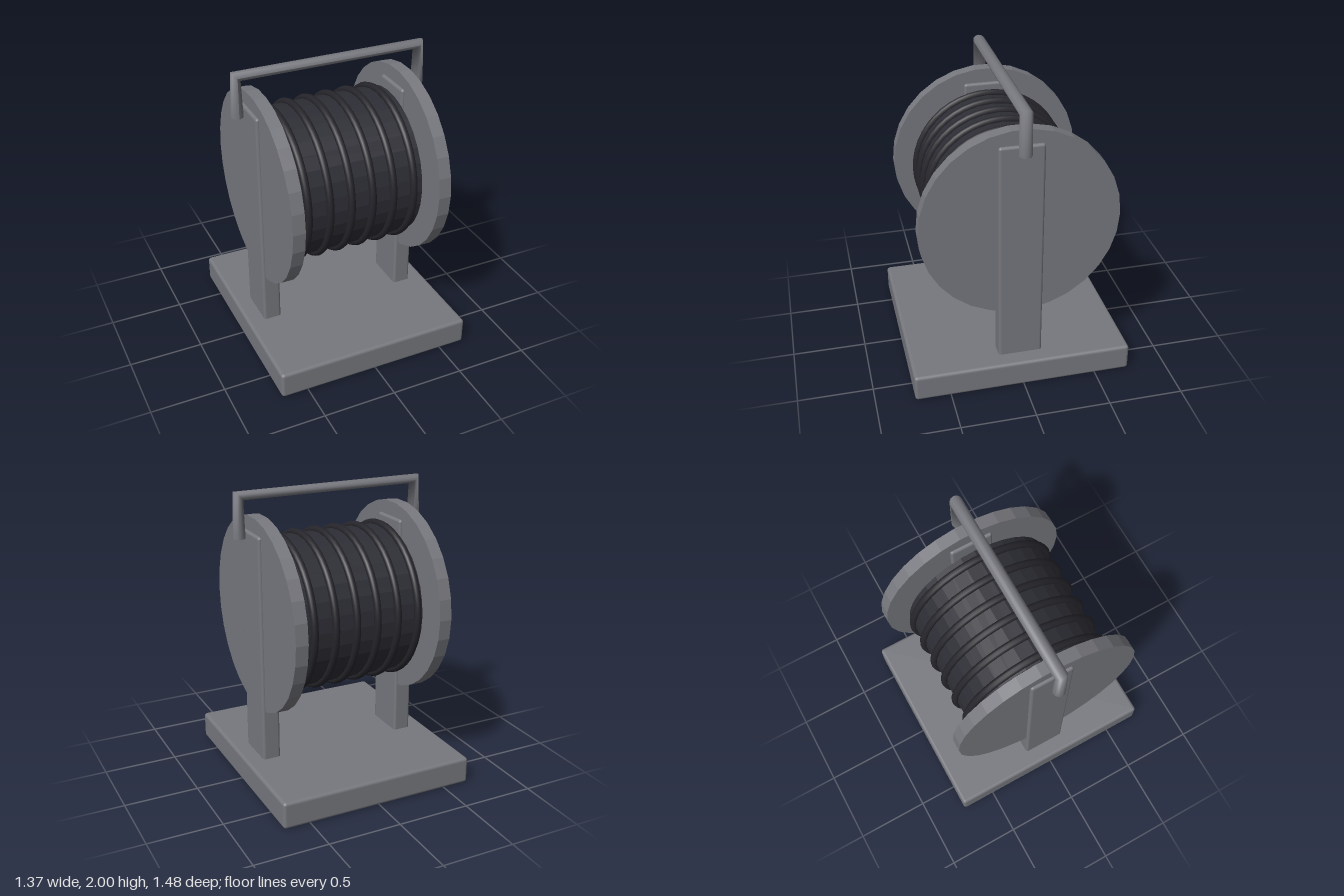
import * as THREE from 'three';
import { RoundedBoxGeometry } from 'three/addons/geometries/RoundedBoxGeometry.js';

const AXIS_Y = 1.172;

export function createModel() {
  const model = new THREE.Group();
  model.name = 'cableReel';

  const make = (name, hex) => {
    const m = new THREE.MeshStandardMaterial({ color: hex });
    m.name = name;
    return m;
  };
  const steel = make('steelGrey', 0x77787e);
  const black = make('drumBlack', 0x2d2d35);
  const rubber = make('cableBlack', 0x25252b);

  const add = (name, geometry, material, x = 0, y = 0, z = 0) => {
    const mesh = new THREE.Mesh(geometry, material);
    mesh.name = name;
    mesh.position.set(x, y, z);
    model.add(mesh);
    return mesh;
  };

  // Faceted cylinder lying along x, with corners pointing to +z and -z
  const reelCylinder = (radius, width, sides) => {
    const g = new THREE.CylinderGeometry(radius, radius, width, sides).rotateZ(Math.PI / 2).toNonIndexed();
    g.computeVertexNormals();
    return g;
  };

  // Base plate
  add('base', new RoundedBoxGeometry(1.37, 0.185, 1.48, 3, 0.022), steel, 0, 0.0975 - 0.005);

  // Side posts and reel flanges
  for (const [side, s] of [['left', 1], ['right', -1]]) {
    add(side + 'Post', new RoundedBoxGeometry(0.124, 1.57, 0.296, 3, 0.018), steel, s * 0.508, 0.945);
    add(side + 'Flange', reelCylinder(0.655, 0.085, 30), steel, s * 0.508, AXIS_Y + 0.003);
  }

  // Drum and the cable turns wound around it
  add('drum', reelCylinder(0.509, 0.845, 32), black, 0, AXIS_Y - 0.004);
  for (let i = 0; i < 6; i++) {
    const turn = new THREE.TorusGeometry(0.514, 0.025, 10, 48).rotateY(Math.PI / 2);
    add('cableTurn' + (i + 1), turn, rubber, -0.384 + i * 0.1483, AXIS_Y - 0.004);
  }

  // Carrying handle: a bar bent twice, with a mitred ring at each corner
  const path = [[-0.638, 1.70], [-0.636, 1.971], [0.636, 1.971], [0.638, 1.70]];
  const turnAngles = [0, -Math.PI / 4, -Math.PI * 3 / 4, -Math.PI];
  const handle = new THREE.CylinderGeometry(0.042, 0.042, 3, 12, 3);
  const p = handle.attributes.position;
  for (let i = 0; i < p.count; i++) {
    const k = Math.round(p.getY(i) + 1.5);
    const a = turnAngles[k];
    const r = p.getX(i);
    p.setXYZ(i, path[k][0] + r * Math.cos(a), path[k][1] + r * Math.sin(a), p.getZ(i));
  }
  handle.computeVertexNormals();
  add('handle', handle, steel);

  return model;
}
